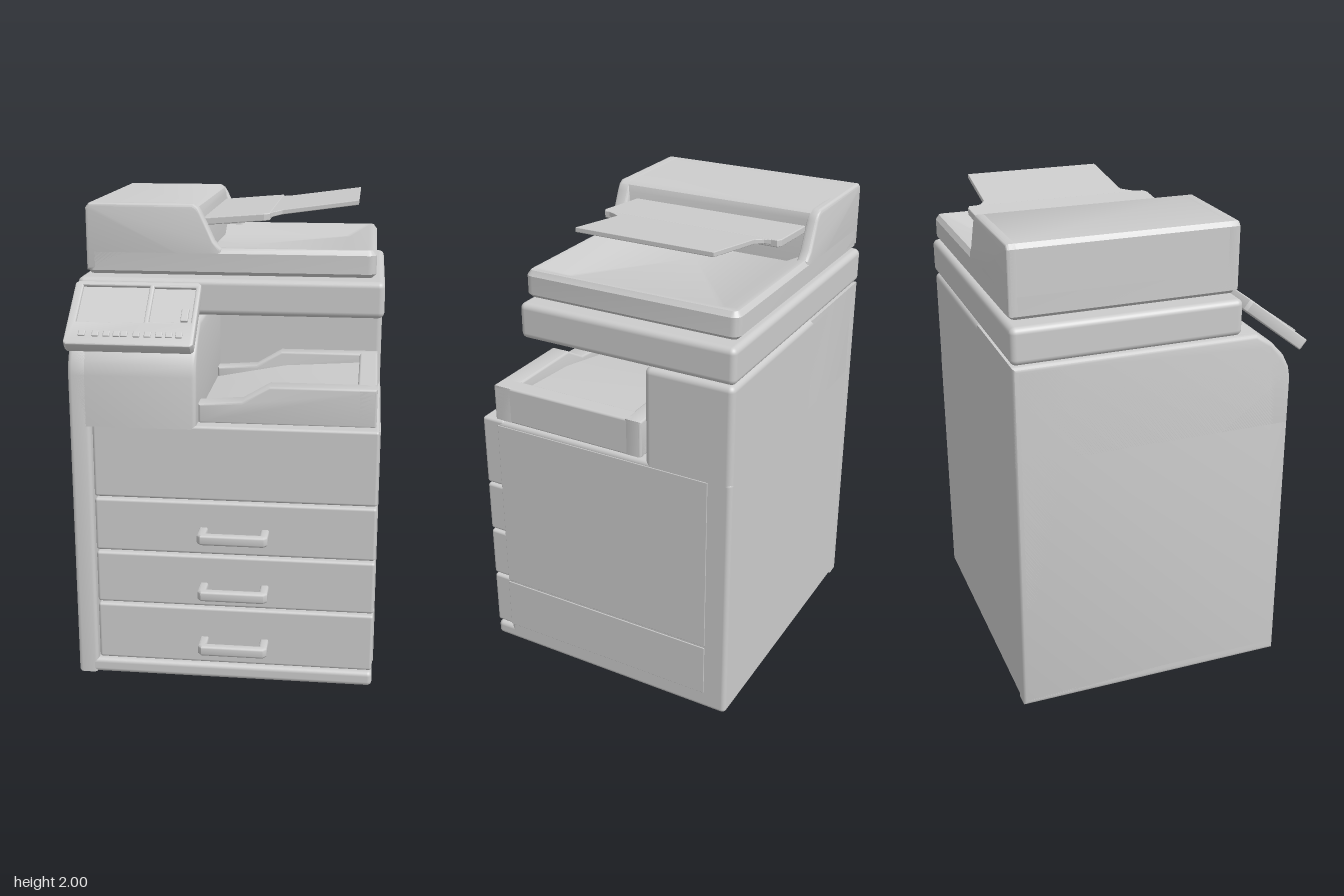
import * as THREE from 'three';
import { toCreasedNormals } from 'three/addons/utils/BufferGeometryUtils.js';
import { RoundedBoxGeometry } from 'three/addons/geometries/RoundedBoxGeometry.js';

export function createModel() {
  const model = new THREE.Group();
  model.name = 'officeCopier';
  const casing = new THREE.MeshStandardMaterial({ color: 0xcccccc });
  casing.name = 'light grey casing';

  const add = (name, geometry, parent = model) => {
    const mesh = new THREE.Mesh(geometry, casing);
    mesh.name = name;
    parent.add(mesh);
    return mesh;
  };

  // Rounded box given by its limits on each axis
  const box = (name, x0, x1, y0, y1, z0, z1, r = 0.02, parent = model) => {
    const mesh = add(name, new RoundedBoxGeometry(x1 - x0, y1 - y0, z1 - z0, 3, r), parent);
    mesh.position.set((x0 + x1) / 2, (y0 + y1) / 2, (z0 + z1) / 2);
    return mesh;
  };

  // Extrusion whose bevel stays inside the given outline and depth
  const extrude = (shape, depth, bevel) => new THREE.ExtrudeGeometry(shape, {
    depth: depth - 2 * bevel, bevelEnabled: bevel > 0, bevelThickness: bevel,
    bevelSize: bevel, bevelOffset: -bevel, bevelSegments: 3, curveSegments: 8,
  }).translate(0, 0, bevel);
  const outline = (points) => new THREE.Shape(points.map(([a, b]) => new THREE.Vector2(a, b)));
  const smooth = (geometry) => toCreasedNormals(geometry, 0.6);

  // Profile [z, y] swept along x, [x, y] along z, and [x, z] along y
  const sweepX = (points, x0, x1, bevel) => smooth(
    extrude(outline(points.map(([z, y]) => [-z, y])), x1 - x0, bevel).rotateY(Math.PI / 2).translate(x0, 0, 0));
  const sweepZ = (points, z0, z1, bevel) => smooth(
    extrude(outline(points), z1 - z0, bevel).translate(0, 0, z0));
  const sweepY = (points, y0, y1, bevel) => smooth(
    extrude(outline(points.map(([x, z]) => [x, -z])), y1 - y0, bevel).rotateX(-Math.PI / 2).translate(0, y0, 0));

  // Closed skin over rounded rectangles [x0, x1, z0, z1, y, radius]
  function loft(rings) {
    const n = 24, pos = [], idx = [];
    for (const [x0, x1, z0, z1, y, r] of rings) {
      for (let j = 0; j < n; j++) {
        const corner = Math.floor(j / 6);
        const t = (corner + (j % 6) / 5) * Math.PI / 2;
        const cx = corner === 0 || corner === 3 ? x1 - r : x0 + r;
        const cz = corner < 2 ? z1 - r : z0 + r;
        pos.push(cx + r * Math.cos(t), y, cz + r * Math.sin(t));
      }
    }
    const last = (rings.length - 1) * n;
    for (const [x0, x1, z0, z1, y] of [rings[0], rings[rings.length - 1]]) {
      pos.push((x0 + x1) / 2, y, (z0 + z1) / 2);
    }
    for (let j = 0; j < n; j++) {
      const k = (j + 1) % n;
      for (let i = 0; i < last; i += n) {
        idx.push(i + j, i + n + j, i + k, i + k, i + n + j, i + n + k);
      }
      idx.push(last + n, j, k, last + n + 1, last + k, last + j);
    }
    const g = new THREE.BufferGeometry();
    g.setAttribute('position', new THREE.Float32BufferAttribute(pos, 3));
    g.setIndex(idx);
    return smooth(g);
  }

  // Cabinet: lower block, tall back and plinth
  box('lowerCabinet', -0.63, 0.63, 0.01, 1.13, -0.63, 0.465);
  box('backCabinet', -0.635, 0.63, 0, 1.535, -0.63, -0.25, 0.025);
  box('plinth', -0.635, 0.63, 0, 0.065, -0.63, 0.54, 0.02);

  // Side column with its rounded shoulder; the upper part is wider
  const shoulder = [[0.54, 1.33], [0.53, 1.38], [0.505, 1.43], [0.45, 1.49], [0.38, 1.535], [-0.63, 1.535]];
  add('sideColumn', sweepX([[-0.63, 0], [0.54, 0], ...shoulder], -0.635, -0.547, 0.018));
  add('upperColumn', sweepX([[-0.63, 1.115], [0.54, 1.115], ...shoulder], -0.635, -0.11, 0.018));

  // Front door and three paper drawers with handles
  box('frontDoor', -0.54, 0.628, 0.812, 1.13, 0.43, 0.54, 0.012);
  const handleOutline = [
    [-0.1, 0.535], [-0.1, 0.62], [-0.085, 0.638], [0.175, 0.638], [0.19, 0.62], [0.19, 0.535],
    [0.155, 0.535], [0.155, 0.602], [-0.065, 0.602], [-0.065, 0.535],
  ];
  for (const [y0, y1] of [[0.075, 0.328], [0.337, 0.565], [0.574, 0.804]]) {
    const drawer = new THREE.Group();
    drawer.name = 'paperDrawer';
    model.add(drawer);
    box('drawerFront', -0.54, 0.628, y0, y1, 0.43, 0.54, 0.012, drawer);
    const y = y1 - 0.13 - (y0 < 0.1 ? 0.022 : 0) + (y0 > 0.3 && y0 < 0.5 ? -0.01 : 0);
    add('drawerHandle', sweepY(handleOutline, y - 0.022, y + 0.022, 0.01), drawer);
  }

  // Thin cover plates on the left side
  box('lowerSideCover', 0.625, 0.634, 0.08, 0.315, -0.53, 0.46, 0.002);
  box('upperSideCover', 0.625, 0.633, 0.325, 1.11, -0.53, 0.46, 0.002);

  // Output tray: sloping floor inside a stepped rim
  const tray = new THREE.Group();
  tray.name = 'outputTray';
  model.add(tray);
  const rim = [[-0.11, 1.125], [0.615, 1.125], [0.615, 1.287], [0.18, 1.287], [0.07, 1.222], [-0.11, 1.208]];
  add('trayFrontRim', sweepZ(rim, 0.39, 0.48, 0.01), tray);
  add('trayBackRim', sweepZ(rim, -0.225, -0.15, 0.01), tray);
  add('trayFloor', sweepZ([[-0.11, 1.125], [0.58, 1.125], [0.58, 1.25], [0.2, 1.225], [-0.11, 1.165]], -0.2, 0.45, 0), tray);
  box('trayEndRim', 0.535, 0.615, 1.125, 1.287, -0.225, 0.48, 0.01, tray);

  // Scanner bed and dished lid
  box('scannerBed', -0.635, 0.632, 1.54, 1.69, -0.633, 0.313, 0.025);
  add('scannerLid', loft([
    [-0.58, 0.58, -0.61, 0.29, 1.705, 0.02],
    [-0.595, 0.595, -0.625, 0.305, 1.72, 0.035],
    [-0.595, 0.595, -0.625, 0.305, 1.795, 0.035],
    [-0.58, 0.58, -0.61, 0.29, 1.815, 0.02],
    [-0.4, 0.56, -0.59, 0.27, 1.815, 0.02],
    [-0.4, 0.47, -0.5, 0.19, 1.77, 0.02],
  ]));

  // Document feeder: upright middle between two sloping cheeks
  const feeder = new THREE.Group();
  feeder.name = 'documentFeeder';
  model.add(feeder);
  const feederTop = [[-0.595, 1.72], [-0.595, 1.975], [-0.58, 1.993], [-0.15, 1.993], [-0.13, 1.98]];
  add('feederBody', sweepZ([...feederTop, [-0.12, 1.955], [-0.115, 1.72]], -0.61, 0.29, 0));
  const cheek = [...feederTop, [-0.115, 1.955], [-0.065, 1.845], [-0.035, 1.812], [-0.035, 1.76], [-0.09, 1.72]];
  add('feederCheek', sweepZ(cheek, 0.245, 0.305, 0.012), feeder);
  add('feederCheek', sweepZ(cheek, -0.625, -0.575, 0.012), feeder);

  // Feeder tray: two flat plates sheared upward along x
  const tilt = (geometry, slope) => {
    const p = geometry.attributes.position;
    for (let i = 0; i < p.count; i++) p.setY(i, p.getY(i) + slope * p.getX(i));
    geometry.computeVertexNormals();
    return geometry;
  };
  add('feederTrayInner', tilt(sweepY(
    [[-0.13, -0.57], [0.13, -0.58], [0.155, -0.57], [0.155, 0.2], [0.13, 0.215], [-0.13, 0.21]], 1.908, 1.938, 0.004), 0.08), feeder);
  add('feederTrayOuter', tilt(sweepY(
    [[0.145, -0.57], [0.165, -0.52], [0.2, -0.495], [0.515, -0.48], [0.515, 0.11], [0.2, 0.115], [0.17, 0.15], [0.145, 0.2]],
    1.908, 1.928, 0.003), 0.135), feeder);

  // Tilted control panel with two sunken screens and a row of keys
  const panel = new THREE.Group();
  panel.name = 'controlPanel';
  panel.position.set(-0.37, 1.56, 0.465);
  panel.rotation.x = -0.91;
  model.add(panel);
  const rect = (x0, x1, y0, y1) => [[x0, y0], [x1, y0], [x1, y1], [x0, y1]];
  const c = 0.012;
  const face = outline([
    [-0.26 + c, -0.168], [0.26 - c, -0.168], [0.26, -0.168 + c], [0.26, 0.168 - c],
    [0.26 - c, 0.168], [-0.26 + c, 0.168], [-0.26, 0.168 - c], [-0.26, -0.168 + c],
  ]);
  for (const hole of [rect(-0.225, 0.05, -0.05, 0.145), rect(0.07, 0.24, -0.045, 0.14)]) {
    face.holes.push(new THREE.Path(hole.reverse().map(([x, y]) => new THREE.Vector2(x, y))));
  }
  add('panelFrame', smooth(extrude(face, 0.05, 0.006).translate(0, 0, -0.025)), panel);
  box('screenFloor', -0.235, 0.25, -0.06, 0.152, -0.02, 0.012, 0.004, panel);
  for (const x of [-0.19, -0.135, -0.09, -0.05, -0.02, 0.03, 0.075, 0.12, 0.16, 0.2]) {
    box('panelKey', x - 0.014, x + 0.014, -0.128, -0.1, 0.01, 0.031, 0.004, panel);
  }
  box('slideSwitch', 0.195, 0.225, -0.035, 0.03, 0.005, 0.022, 0.004, panel);

  return model;
}
